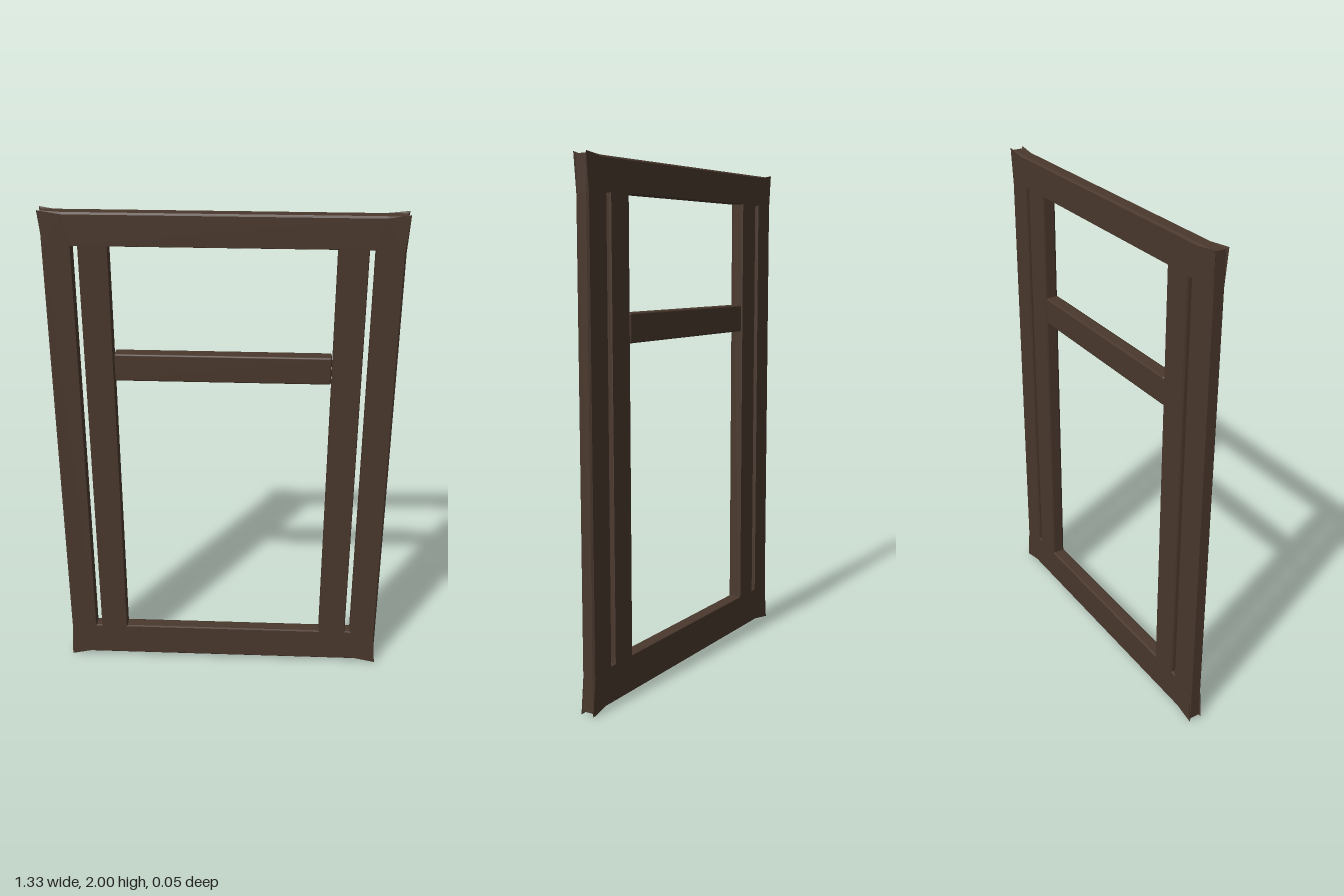
import * as THREE from 'three';
import { mergeGeometries } from 'three/addons/utils/BufferGeometryUtils.js';
import { RoundedBoxGeometry } from 'three/addons/geometries/RoundedBoxGeometry.js';

const FACE_Z = 0.027; // flat front and back faces
const EDGE_Z = 0.02;  // where the bevel meets the edge band
const BEVEL = 0.006;

// Counter-clockwise outline; each corner is drawn out between two straight runs.
function outline(halfW, bottom, top, cornerX, cornerBottom, cornerTop) {
  const cx = 0.58, low = 0.14, high = 1.86;
  return [
    [-halfW, low], [-cornerX, cornerBottom], [-cx, bottom],
    [cx, bottom], [cornerX, cornerBottom], [halfW, low],
    [halfW, high], [cornerX, cornerTop], [cx, top],
    [-cx, top], [-cornerX, cornerTop], [-halfW, high],
  ].map(([x, y]) => new THREE.Vector2(x, y));
}

// Clockwise rectangle, so its walls face into the opening.
function opening(x0, x1, grow) {
  const y0 = 0.16 - grow, y1 = 1.868 + grow;
  return [[x0 - grow, y0], [x0 - grow, y1], [x1 + grow, y1], [x1 + grow, y0]]
    .map(([x, y]) => new THREE.Vector2(x, y));
}

// Walls joining the face loop, the edge band and the opposite face loop.
function walls(face, edge) {
  const rings = [[face, -FACE_Z], [edge, -EDGE_Z], [edge, EDGE_Z], [face, FACE_Z]];
  const pos = [];
  for (let r = 0; r < 3; r++) {
    for (let i = 0; i < face.length; i++) {
      const j = (i + 1) % face.length;
      const p = (k, n) => [rings[k][0][n].x, rings[k][0][n].y, rings[k][1]];
      const a0 = p(r, i), b0 = p(r, j), a1 = p(r + 1, i), b1 = p(r + 1, j);
      pos.push(...a0, ...b0, ...b1, ...a0, ...b1, ...a1);
    }
  }
  const g = new THREE.BufferGeometry();
  g.setAttribute('position', new THREE.Float32BufferAttribute(pos, 3));
  g.computeVertexNormals();
  return g;
}

function frameGeometry() {
  const face = outline(0.653, 0.02, 1.986, 0.667, 0, 2);
  const edge = outline(0.66, 0.013, 1.993, 0.66, 0.011, 1.993);
  // Central light and the two narrow side slots.
  const spans = [[-0.417, 0.417], [-0.552, -0.529], [0.529, 0.552]];

  const shape = new THREE.Shape(face);
  const parts = [walls(face, edge)];
  for (const [x0, x1] of spans) {
    const wide = opening(x0, x1, BEVEL / 2);
    shape.holes.push(new THREE.Path(wide));
    parts.push(walls(wide, opening(x0, x1, 0)));
  }
  // Front and back faces.
  for (const turn of [0, Math.PI]) {
    const cap = new THREE.ShapeGeometry(shape).toNonIndexed();
    cap.deleteAttribute('uv');
    cap.translate(0, 0, FACE_Z).rotateY(turn);
    parts.push(cap);
  }
  return mergeGeometries(parts);
}

export function createModel() {
  const group = new THREE.Group();
  group.name = 'windowFrame';
  const wood = new THREE.MeshStandardMaterial({ color: 0x4a382d });

  const frame = new THREE.Mesh(frameGeometry(), wood);
  frame.name = 'outerFrame';
  group.add(frame);

  // Crossbar between the inner stiles
  const bar = new THREE.Mesh(
    new RoundedBoxGeometry(0.828, 0.111, 2 * FACE_Z, 2, 0.007), wood);
  bar.name = 'crossbar';
  bar.position.y = 1.392;
  group.add(bar);

  return group;
}
